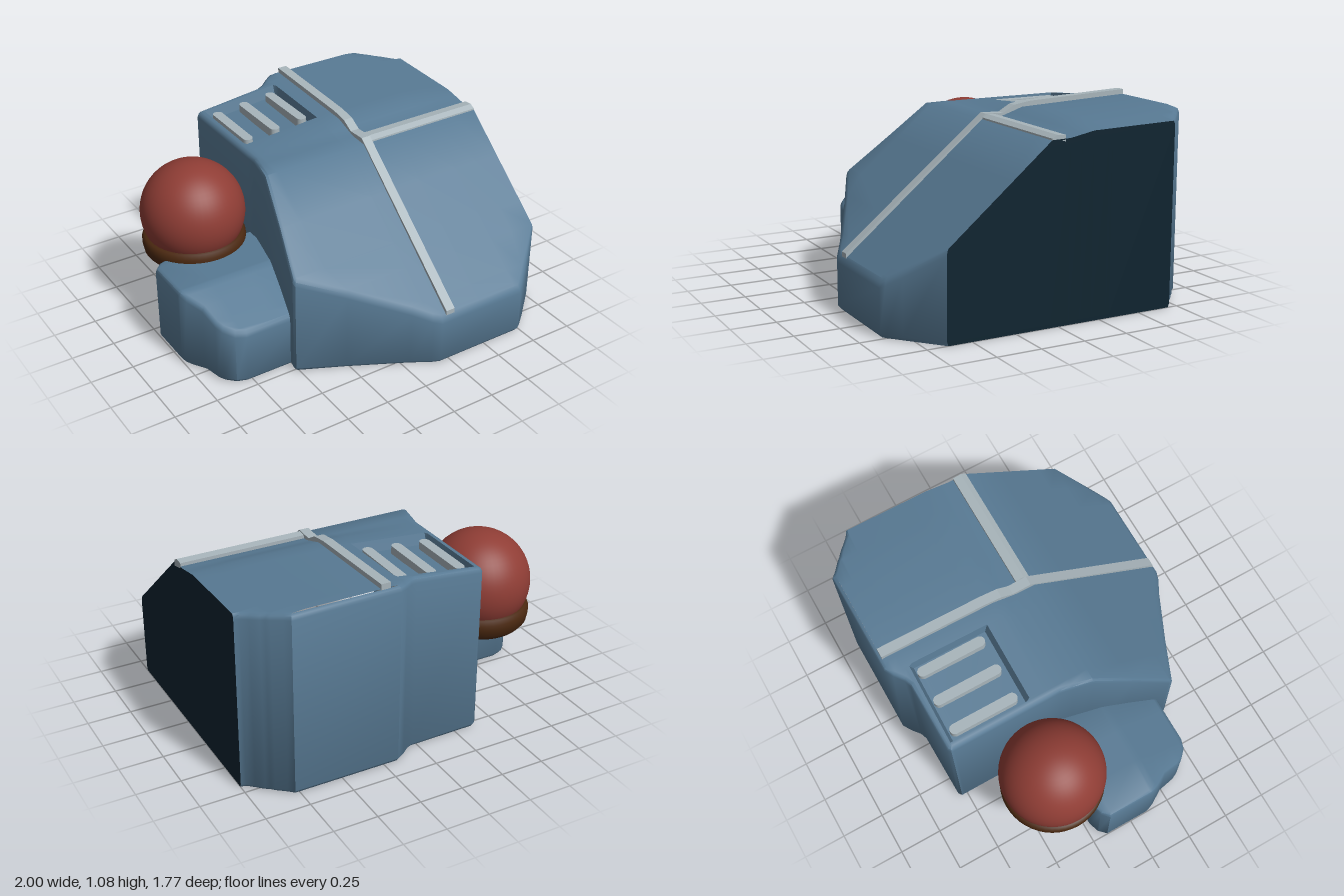
import * as THREE from 'three';
import { toCreasedNormals } from 'three/addons/utils/BufferGeometryUtils.js';

const material = (name, color) => Object.assign(new THREE.MeshStandardMaterial({ color }), { name });

// piecewise linear lookup in [[position, value], ...]
function ramp(points, t) {
  if (t <= points[0][0]) return points[0][1];
  for (let i = 1; i < points.length; i++) {
    const [a, va] = points[i - 1], [b, vb] = points[i];
    if (t <= b) return va + (vb - va) * (t - a) / (b - a);
  }
  return points[points.length - 1][1];
}

// main roof: sloping front, gently raised back, sunken vent on the right
function bodyRoof(x, z) {
  const rise = ramp([[-0.85, 1], [-0.2, 0.65], [-0.06, 0]], z);
  const crown = ramp([[-0.38, 0], [0, 0.04], [0.2, 0.07], [0.7, 0.07], [1, 0.04]], x);
  const y = Math.min(0.28 + (0.89 - z) * 0.83, 0.98 + rise * crown);
  const inVent = x > -0.335 && x < 0.125 && z > -0.754 && z < -0.3;
  return inVent ? y - 0.06 : y;
}

const podRoof = (x, z) => ramp([[0.12, 0.47], [0.45, 0.32]], z);

// Solid from rows [z, left x, right x] with softened edges under a roof(x, z).
// Walls lying on x = 1 are returned as a separate flat panel.
function hull(rows, columns, roof) {
  const shell = [], panel = [], n = rows.length;
  const quad = (out, a, b, c, d) => out.push(...a, ...b, ...c, ...a, ...c, ...d);
  const outline = [
    ...rows.map(([z, l]) => [l, z]),
    ...rows.map(([z, , r]) => [r, z]).reverse(),
  ];
  const count = outline.length;
  const inward = (a, b) => {
    const dx = b[0] - a[0], dz = b[1] - a[1], len = Math.hypot(dx, dz);
    return [dz / len, -dx / len];
  };
  const inset = (d) => outline.map((p, i) => {
    const u = inward(outline[(i + count - 1) % count], p);
    const v = inward(p, outline[(i + 1) % count]);
    const s = d / Math.max(0.5, 1 + u[0] * v[0] + u[1] * v[1]);
    return [p[0] > 0.999 ? p[0] : p[0] + (u[0] + v[0]) * s, p[1] + (u[1] + v[1]) * s];
  });

  // walls as stacked rings
  const low = inset(0.015), top = inset(0.022);
  const under = (points, drop) => points.map(([x, z]) => [x, roof(x, z) - drop, z]);
  const rings = [
    low.map(([x, z]) => [x, 0, z]),
    outline.map(([x, z]) => [x, 0.02, z]),
    under(outline, 0.028),
    under(inset(0.007), 0.008),
    under(top, 0),
  ];
  for (let r = 0; r < rings.length - 1; r++) {
    for (let i = 0; i < count; i++) {
      const j = (i + 1) % count;
      const flat = outline[i][0] > 0.999 && outline[j][0] > 0.999;
      quad(flat ? panel : shell, rings[r][i], rings[r][j], rings[r + 1][j], rings[r + 1][i]);
    }
  }

  // roof and floor as grids between the left and right edges
  const line = (points, i, xs, height) => {
    const [xl, zl] = points[i], [xr, zr] = points[count - 1 - i];
    return [xl, ...xs, xr].map((x0) => {
      const x = Math.min(xr, Math.max(xl, x0));
      const z = zl + (zr - zl) * (x - xl) / (xr - xl);
      return [x, height(x, z), z];
    });
  };
  for (let i = 0; i < n - 1; i++) {
    const a = line(top, i, columns, roof), b = line(top, i + 1, columns, roof);
    for (let k = 0; k < a.length - 1; k++) quad(shell, a[k], b[k], b[k + 1], a[k + 1]);
    const c = line(low, i, [], () => 0), d = line(low, i + 1, [], () => 0);
    quad(shell, c[0], c[1], d[1], d[0]);
  }
  return [shell, panel].map((positions) => {
    const g = new THREE.BufferGeometry();
    g.setAttribute('position', new THREE.Float32BufferAttribute(positions, 3));
    g.computeVertexNormals();
    return positions.length ? toCreasedNormals(g, 0.75) : g;
  });
}

export function createModel() {
  const model = new THREE.Group();
  const blue = material('blue shell', 0x587a94);
  const dark = material('dark panel', 0x0f2430);
  const grey = material('pale trim', 0xa8b5bb);
  const red = material('red ball', 0x8f3d35);
  const brown = material('brown socket', 0x4a2810);
  const add = (name, geometry, mat) => {
    const mesh = new THREE.Mesh(geometry, mat);
    mesh.name = name;
    model.add(mesh);
    return mesh;
  };

  // main body with its flat cut side
  const [body, side] = hull([
    [-0.89, 0.17, 0.78], [-0.86, 0.12, 0.81], [-0.82, 0.07, 0.86], [-0.805, 0.03, 0.876],
    [-0.8, -0.36, 0.88], [-0.785, -0.38, 0.9], [-0.768, -0.38, 0.92], [-0.748, -0.38, 0.94],
    [-0.715, -0.38, 0.975], [-0.7, -0.38, 1], [-0.31, -0.38, 1], [-0.29, -0.38, 1],
    [-0.2, -0.38, 1], [-0.13, -0.38, 1], [-0.06, -0.395, 1], [0.05, -0.42, 1],
    [0.28, -0.47, 1], [0.5, -0.525, 1], [0.52, -0.52, 1], [0.64, -0.27, 1],
    [0.8, 0.04, 0.83], [0.86, 0.14, 0.76], [0.88, 0.19, 0.73],
  ], [-0.34, -0.33, 0.12, 0.13, 0.2, 0.45, 0.7, 0.85], bodyRoof);
  add('body', body, blue);
  add('sidePanel', side, dark);

  // low pod on the right
  const [pod] = hull([
    [-0.22, -0.9, -0.36], [-0.2, -0.96, -0.36], [-0.16, -1, -0.36], [0.1, -1, -0.36],
    [0.12, -0.997, -0.36], [0.16, -0.98, -0.37], [0.24, -0.93, -0.39], [0.34, -0.91, -0.41],
    [0.38, -0.89, -0.42], [0.43, -0.84, -0.43], [0.45, -0.78, -0.44],
  ], [-0.8, -0.6], podRoof);
  add('sidePod', pod, blue);

  // ball resting in a round socket
  add('ball', new THREE.SphereGeometry(0.295, 48, 32), red).position.set(-0.665, 0.645, -0.34);
  const socket = [[0, 0.37], [0.2, 0.37], [0.26, 0.39], [0.285, 0.42], [0.293, 0.46],
    [0.293, 0.49], [0.28, 0.515], [0.24, 0.52]].map(([r, y]) => new THREE.Vector2(r, y));
  add('ballSocket', new THREE.LatheGeometry(socket, 48), brown).position.set(-0.665, 0, -0.34);

  // long trim strip following the roof from back to front
  const path = [[-0.87, 1.078], [-0.25, 1.055], [-0.15, 1.04], [-0.08, 1.0], [0.03, 1.005], [0.865, 0.325]];
  const profile = new THREE.Shape([
    ...path.map(([z, y]) => new THREE.Vector2(-z, y)),
    ...path.map(([z, y]) => new THREE.Vector2(-z, y - 0.05)).reverse(),
  ]);
  const strip = new THREE.ExtrudeGeometry(profile, { depth: 0.055, bevelEnabled: false });
  strip.rotateY(Math.PI / 2);
  add('longTrim', strip, grey).position.x = 0.222;

  // cross trim along the ridge
  const ridge = new THREE.Shape([[-0.03, 0.95], [0.055, 0.95], [0.05, 0.985], [0.02, 1.002], [-0.03, 0.998]]
    .map(([z, y]) => new THREE.Vector2(-z, y)));
  const cross = new THREE.ExtrudeGeometry(ridge, { depth: 0.72, bevelEnabled: false });
  cross.rotateY(Math.PI / 2);
  add('crossTrim', cross, grey).position.x = 0.28;

  // three rounded bars in the vent
  for (const x of [-0.283, -0.107, 0.07]) {
    const slat = new THREE.Shape();
    slat.absarc(0, 0.172, 0.029, 0, Math.PI);
    slat.absarc(0, -0.172, 0.029, Math.PI, 2 * Math.PI);
    const bar = new THREE.ExtrudeGeometry(slat, { depth: 0.075, bevelEnabled: false, curveSegments: 8 });
    bar.rotateX(-Math.PI / 2);
    add('ventBar', bar, grey).position.set(x, 0.9 + (x + 0.283) * 0.09, -0.54);
  }
  return model;
}
